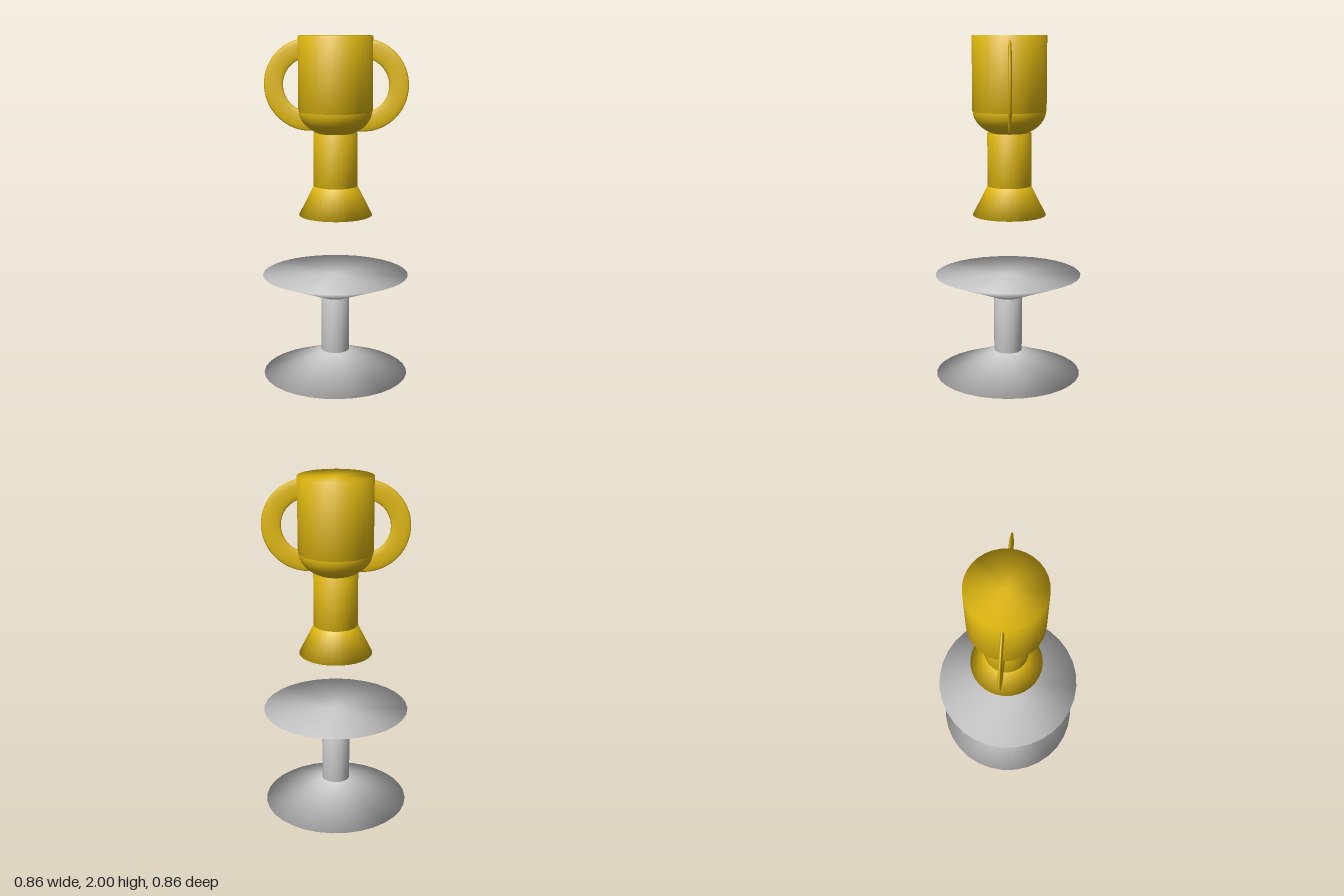
import * as THREE from 'three';
import { mergeVertices } from 'three/addons/utils/BufferGeometryUtils.js';

const SIDES = 32;
const CUP_Z = -0.008;

const grey = new THREE.MeshStandardMaterial({ color: 0xcccccc });
const gold = new THREE.MeshStandardMaterial({ color: 0xe0b810 });

// Weld a geometry so its normals blend across every edge.
function weld(geometry) {
  geometry.deleteAttribute('normal');
  geometry.deleteAttribute('uv');
  const welded = mergeVertices(geometry, 1e-5);
  welded.computeVertexNormals();
  return welded;
}

// Closed drum or truncated cone between two heights.
function drum(name, material, bottomRadius, topRadius, y0, y1, z = 0) {
  const geometry = weld(new THREE.CylinderGeometry(topRadius, bottomRadius, y1 - y0, SIDES));
  const mesh = new THREE.Mesh(geometry, material);
  mesh.name = name;
  mesh.position.set(0, (y0 + y1) / 2, z);
  return mesh;
}

export function createModel() {
  const model = new THREE.Group();
  model.name = 'trophyOnPedestal';

  // Spool-shaped pedestal
  const pedestal = new THREE.Group();
  pedestal.name = 'pedestal';
  pedestal.add(
    drum('pedestalFoot', grey, 0.43, 0.083, 0, 0.14),
    drum('pedestalColumn', grey, 0.083, 0.083, 0.14, 0.473),
    drum('pedestalTop', grey, 0.083, 0.43, 0.473, 0.61),
  );

  // Cup floating above the pedestal
  const trophy = new THREE.Group();
  trophy.name = 'trophy';
  trophy.add(
    drum('trophyFoot', gold, 0.214, 0.128, 0.968, 1.14, CUP_Z),
    drum('trophyStem', gold, 0.128, 0.128, 1.14, 1.447, CUP_Z),
    drum('cupBody', gold, 0.214, 0.214, 1.573, 2, CUP_Z),
  );

  // Rounded underside of the cup
  const bowl = new THREE.Mesh(
    new THREE.SphereGeometry(0.211, SIDES, 12, 0, Math.PI * 2, Math.PI / 2, Math.PI / 2), gold);
  bowl.name = 'cupBowl';
  bowl.scale.y = 0.69;
  bowl.position.set(0, 1.575, CUP_Z);
  trophy.add(bowl);

  // Thin ring handles, their ends buried in the cup
  const arc = Math.PI * 4 / 3;
  const handleGeometry = new THREE.TorusGeometry(0.208, 0.056, 12, 40, arc);
  handleGeometry.rotateZ(-arc / 2);
  handleGeometry.scale(1, 1, 0.18);
  for (const side of [1, -1]) {
    const handle = new THREE.Mesh(handleGeometry, gold);
    handle.name = side > 0 ? 'leftHandle' : 'rightHandle';
    handle.position.set(side * 0.154, 1.722, -0.01);
    if (side < 0) handle.rotation.y = Math.PI;
    trophy.add(handle);
  }

  model.add(pedestal, trophy);
  return model;
}
